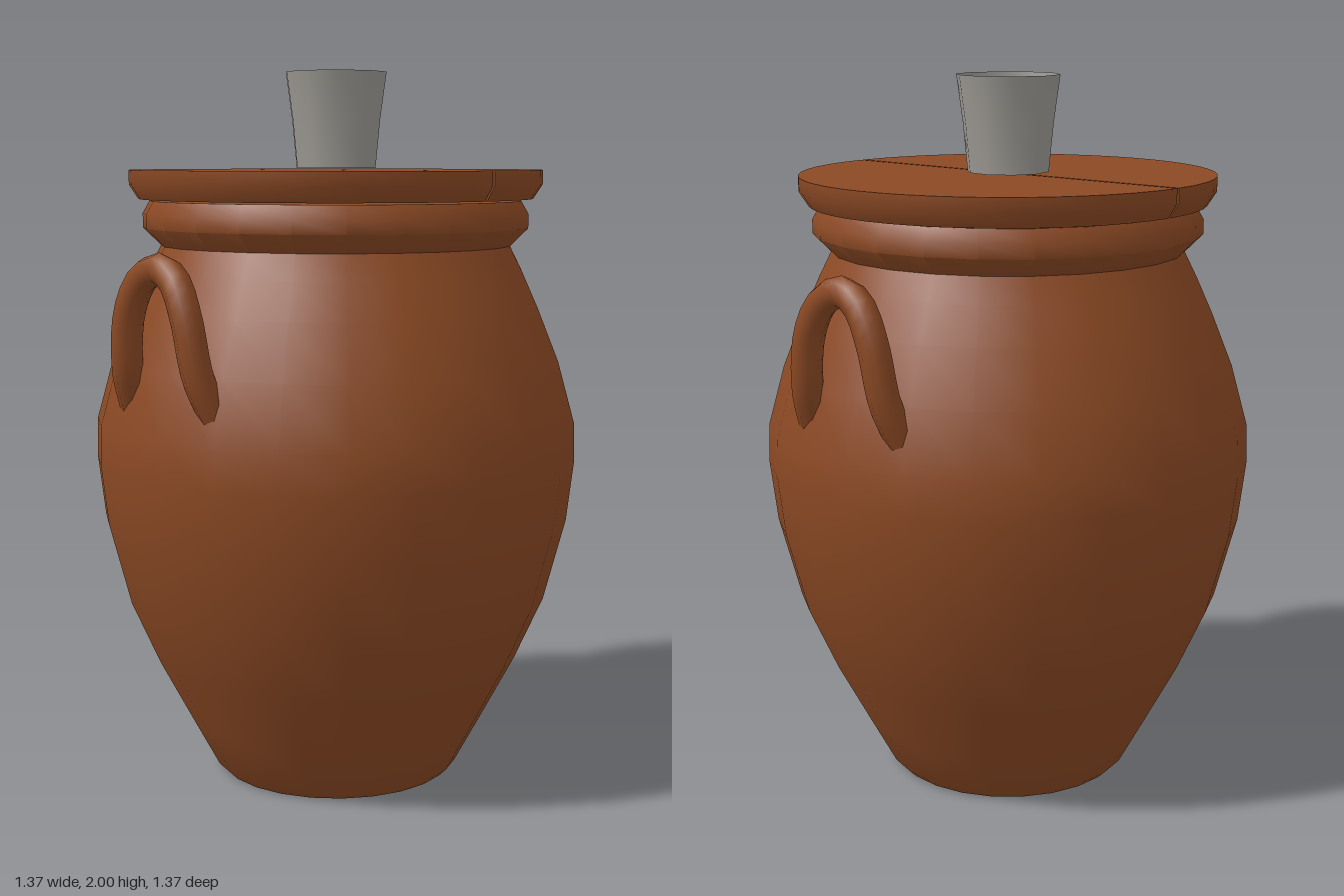
import * as THREE from 'three';
import { toCreasedNormals } from 'three/addons/utils/BufferGeometryUtils.js';

const clay = new THREE.MeshStandardMaterial({ color: 0x8b4924 });
clay.name = 'terracotta';
const metal = new THREE.MeshStandardMaterial({ color: 0x9c9993, side: THREE.DoubleSide });
metal.name = 'grey metal';

function lathe(profile, sides, crease) {
  const points = profile.map(([r, y]) => new THREE.Vector2(r, y));
  return toCreasedNormals(new THREE.LatheGeometry(points, sides), crease);
}

function part(name, geometry, material) {
  const mesh = new THREE.Mesh(geometry, material);
  mesh.name = name;
  return mesh;
}

// Half of the split lid: a half disc whose rim tapers towards the underside
function lidHalfGeometry() {
  const gap = 0.004, radius = 0.578, depth = 0.08;
  const shape = new THREE.Shape();
  shape.absarc(0, 0, radius, -Math.PI / 2, Math.PI / 2, false);
  const geo = new THREE.ExtrudeGeometry(shape, { depth, bevelEnabled: false, curveSegments: 12, steps: 2 });
  geo.rotateX(-Math.PI / 2);
  const pos = geo.attributes.position;
  for (let i = 0; i < pos.count; i++) {
    const k = pos.getY(i) < 0.01 ? 0.955 : 1;
    pos.setXYZ(i, pos.getX(i) * k + gap, pos.getY(i) + 1.65, pos.getZ(i) * k);
  }
  return toCreasedNormals(geo, 0.7);
}

// Upright loop handle whose feet sink into the shoulder
function handleGeometry() {
  const path = new THREE.CatmullRomCurve3([
    [0.59, 1.08, -0.17], [0.64, 1.2, -0.145], [0.655, 1.36, -0.115], [0.65, 1.45, -0.065],
    [0.645, 1.48, 0],
    [0.65, 1.45, 0.065], [0.655, 1.36, 0.115], [0.64, 1.2, 0.145], [0.59, 1.08, 0.17],
  ].map((p) => new THREE.Vector3(...p)));
  return new THREE.TubeGeometry(path, 24, 0.042, 8, false);
}

export function createModel() {
  const model = new THREE.Group();
  model.name = 'liddedJar';

  // Belly, shoulder, pinched neck and rolled rim
  model.add(part('jarBody', lathe([
    [0, 0], [0.335, 0], [0.355, 0.02], [0.43, 0.16], [0.525, 0.34], [0.605, 0.52],
    [0.665, 0.75], [0.685, 0.92], [0.682, 1.03], [0.635, 1.2], [0.575, 1.35],
    [0.53, 1.45], [0.495, 1.52], [0.545, 1.57], [0.545, 1.61], [0.525, 1.645], [0, 1.645],
  ], 24, 0.8), clay));

  // Two opposite sides, each with a lid half and a handle
  const lidHalf = lidHalfGeometry();
  const handle = handleGeometry();
  ['right', 'left'].forEach((side, i) => {
    const half = new THREE.Group();
    half.name = side + 'Side';
    half.add(part('lidHalf', lidHalf, clay), part('handle', handle, clay));
    half.rotation.y = 0.735 + i * Math.PI;
    model.add(half);
  });

  // Open flared cup standing on the lid
  model.add(part('cup', lathe([
    [0, 1.735], [0.115, 1.735], [0.128, 1.87], [0.146, 2.0],
  ], 10, 0.8), metal));

  return model;
}
